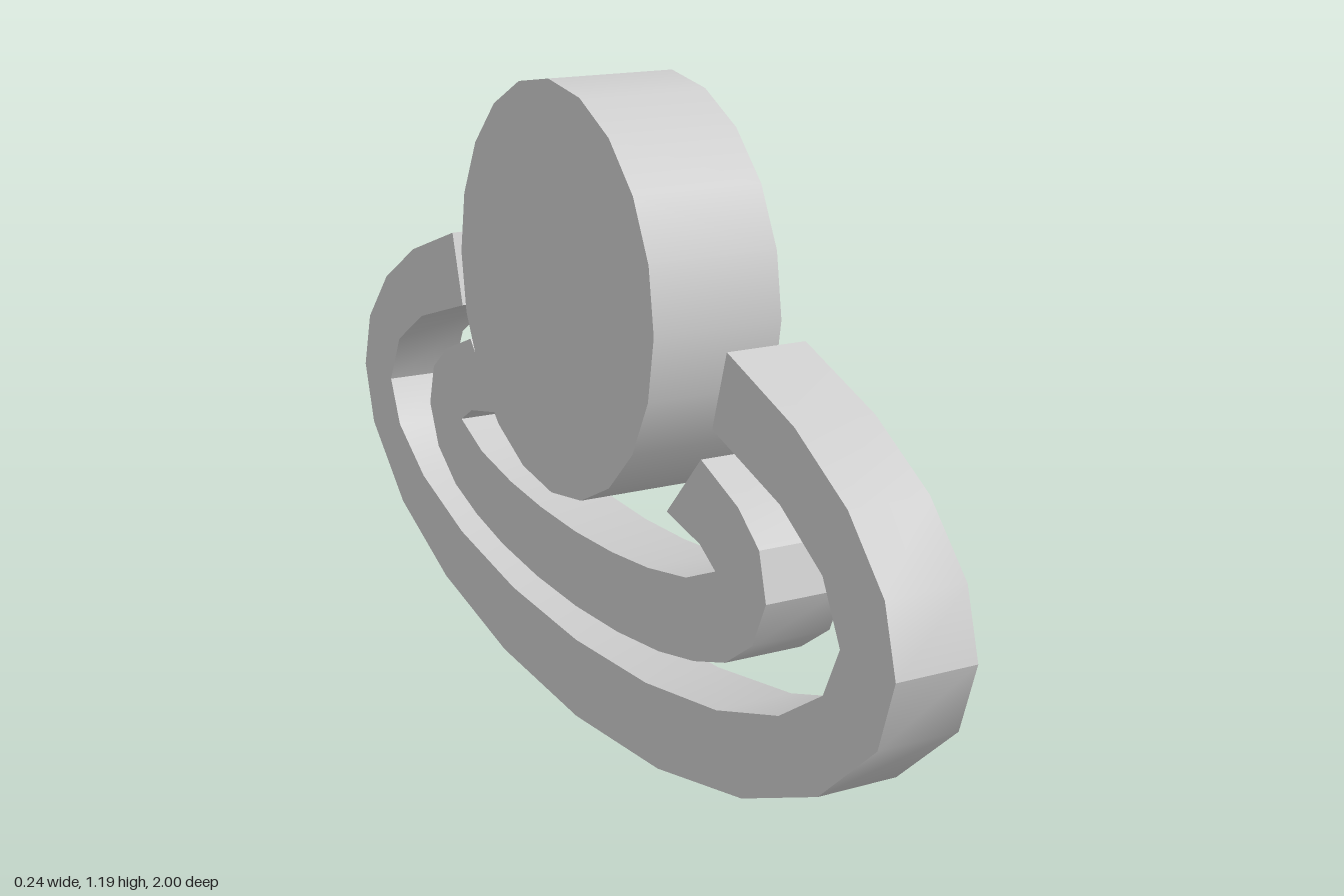
import * as THREE from 'three';
import { toCreasedNormals } from 'three/addons/utils/BufferGeometryUtils.js';

const material = new THREE.MeshStandardMaterial({ color: 0xcccccc });
const CENTRE_Y = 0.445;

// Points along an elliptical arc, angles in degrees from the side tip
function arc(rz, ry, angles) {
  return angles.map((deg) => {
    const t = THREE.MathUtils.degToRad(deg);
    return [rz * Math.cos(t), CENTRE_Y + ry * Math.sin(t)];
  });
}

// Open band: half profiles run from the bottom middle up to the cut end, then are mirrored
function band(name, outer, inner, width) {
  const mirror = (pts) => pts.slice(1).reverse().map(([z, y]) => [-z, y]);
  const outline = [...mirror(outer), ...outer, ...inner.slice().reverse(), ...mirror(inner).reverse()];
  const shape = new THREE.Shape(outline.map(([z, y]) => new THREE.Vector2(z, y)));
  const extruded = new THREE.ExtrudeGeometry(shape, { depth: width, bevelEnabled: false });
  extruded.translate(0, 0, -width / 2).rotateY(Math.PI / 2);
  const mesh = new THREE.Mesh(toCreasedNormals(extruded, 0.55), material);
  mesh.name = name;
  return mesh;
}

export function createModel() {
  const model = new THREE.Group();
  model.name = 'discWithOpenRings';

  // Thick disc standing on edge
  const disc = new THREE.Mesh(new THREE.CylinderGeometry(0.373, 0.373, 0.244, 20), material);
  disc.name = 'disc';
  disc.rotation.z = Math.PI / 2;
  disc.position.y = 0.821;
  model.add(disc);

  // Large open ring
  model.add(band(
    'outerRing',
    arc(1, 0.445, [-90, -72, -54, -36, -16, 0, 15, 30, 44, 58.6]),
    arc(0.857, 0.292, [-90, -72, -54, -36, -18, 0, 20, 37, 56]),
    0.147,
  ));

  // Small open ring with slanted ends
  model.add(band(
    'innerRing',
    [[0, 0.22], [0.16, 0.226], [0.31, 0.243], [0.43, 0.269], [0.53, 0.303], [0.612, 0.362],
      [0.65, 0.445], [0.627, 0.528], [0.562, 0.58], [0.445, 0.627]],
    [[0, 0.365], [0.14, 0.37], [0.27, 0.383], [0.4, 0.408], [0.495, 0.45], [0.445, 0.481], [0.335, 0.505]],
    0.147,
  ));

  return model;
}
